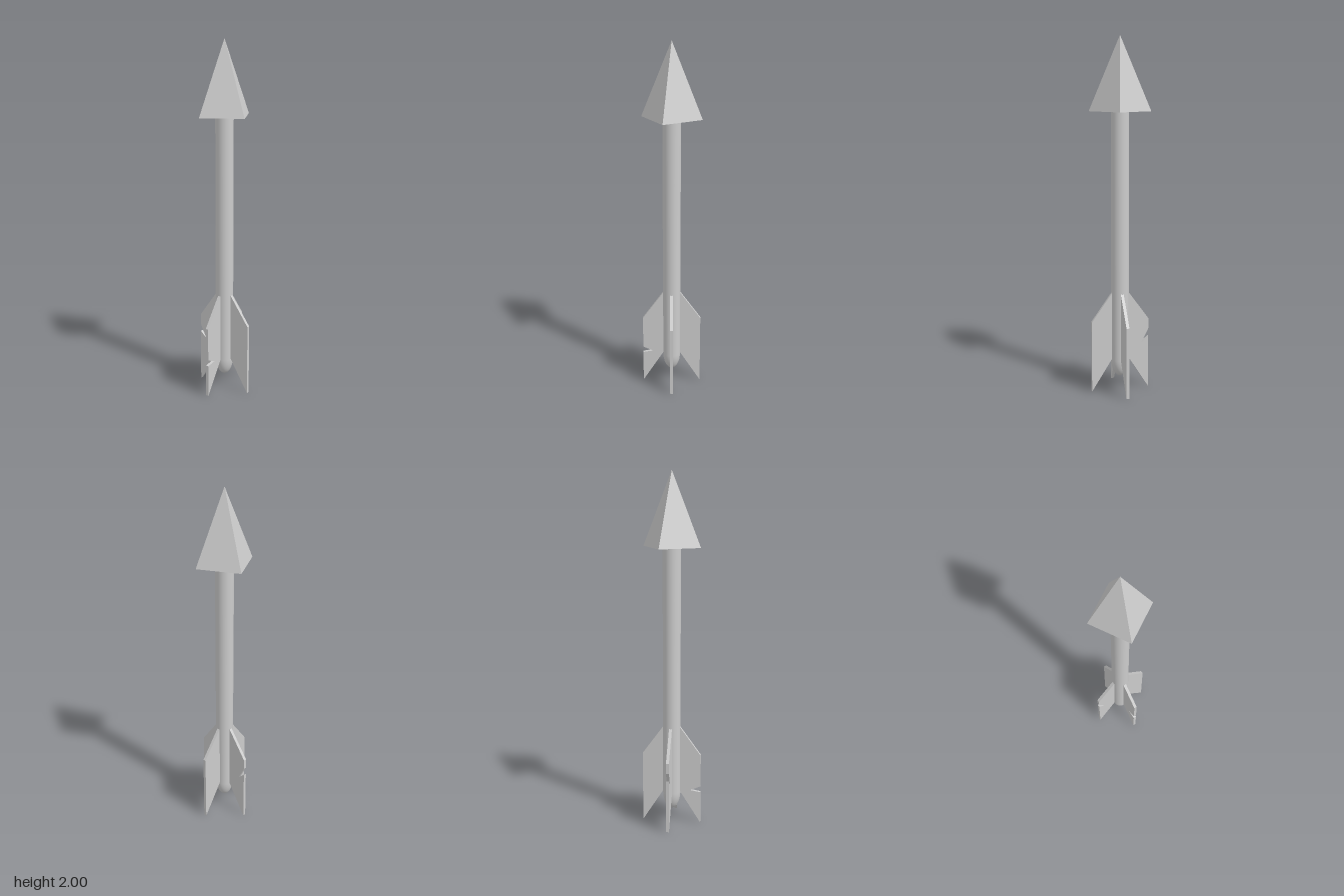
import * as THREE from 'three';

const material = new THREE.MeshStandardMaterial({ color: 0xcccccc });
const flatMaterial = new THREE.MeshStandardMaterial({ color: 0xcccccc, flatShading: true });
const FIN_THICKNESS = 0.017;

// Swept-back fin, lying in the x-y plane; notch points run down its outer edge.
function makeFin(notch = []) {
  const outline = [
    [0.03, 0.6], [0.167, 0.41], ...notch, [0.167, 0], [0.05, 0.185], [0.03, 0.217],
  ].map(([x, y]) => new THREE.Vector2(x, y));
  const geometry = new THREE.ExtrudeGeometry(new THREE.Shape(outline), {
    depth: FIN_THICKNESS, bevelEnabled: false,
  });
  geometry.translate(0, 0, -FIN_THICKNESS / 2);
  return new THREE.Mesh(geometry, flatMaterial);
}

export function createModel() {
  const model = new THREE.Group();
  model.name = 'arrow';

  // Shaft with a rounded lower end
  const profile = [new THREE.Vector2(0, 0.08)];
  for (let i = 1; i <= 8; i++) {
    const a = (i / 8) * Math.PI / 2;
    profile.push(new THREE.Vector2(0.05 * Math.sin(a), 0.18 - 0.1 * Math.cos(a)));
  }
  profile.push(new THREE.Vector2(0.05, 1.595));
  const shaft = new THREE.Mesh(new THREE.LatheGeometry(profile, 32), material);
  shaft.name = 'shaft';
  model.add(shaft);

  // Four-sided pointed head
  const head = new THREE.Mesh(new THREE.ConeGeometry(0.171, 0.407, 4), flatMaterial);
  head.name = 'head';
  head.position.y = 1.7965;
  head.rotation.y = -0.12;
  model.add(head);

  // Four fins; the back and right ones have a torn notch
  const fins = [
    ['leftFin', []],
    ['backFin', [[0.167, 0.35], [0.127, 0.27], [0.167, 0.305]]],
    ['rightFin', [[0.167, 0.222], [0.11, 0.196], [0.167, 0.186]]],
    ['frontFin', []],
  ];
  fins.forEach(([name, notch], i) => {
    const fin = makeFin(notch);
    fin.name = name;
    fin.rotation.y = 0.155 + i * Math.PI / 2;
    model.add(fin);
  });

  return model;
}
